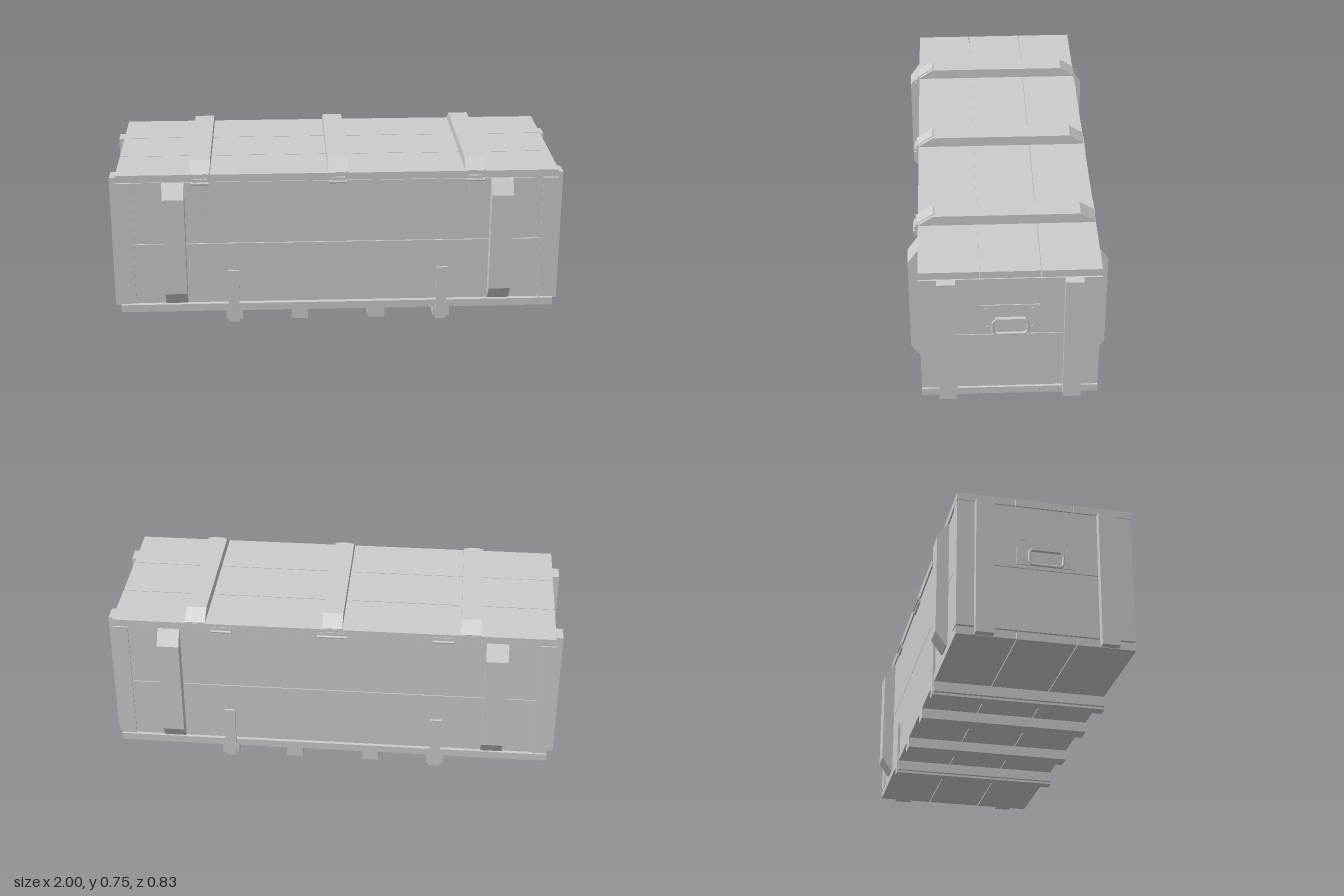
import * as THREE from 'three';

const grey = new THREE.MeshStandardMaterial({ color: 0xcccccc });
grey.name = 'grey';

export function createModel() {
  const crate = new THREE.Group();
  crate.name = 'crate';

  const add = (name, geo) => {
    const m = new THREE.Mesh(geo, grey);
    m.name = name;
    crate.add(m);
    return m;
  };
  // Box given by its min and max on each axis
  const box = (name, x0, x1, y0, y1, z0, z1) => {
    const m = add(name, new THREE.BoxGeometry(x1 - x0, y1 - y0, z1 - z0));
    m.position.set((x0 + x1) / 2, (y0 + y1) / 2, (z0 + z1) / 2);
    return m;
  };
  // Outline in (z, y), extruded along x around the centre cx
  const prism = (name, pts, cx, width) => {
    const shape = new THREE.Shape(pts.map(([z, y]) => new THREE.Vector2(-z, y)));
    const geo = new THREE.ExtrudeGeometry(shape, { depth: width, bevelEnabled: false });
    geo.translate(0, 0, -width / 2);
    geo.rotateY(Math.PI / 2);
    const m = add(name, geo);
    m.position.x = cx;
    return m;
  };

  const seam = 0.0015;

  // Inner core seen in the plank seams
  box('core', -0.94, 0.94, 0.096, 0.668, -0.35, 0.35);

  // Wall planks, two high, on all four sides
  for (const [y0, y1] of [[0.096, 0.38 - seam], [0.38 + seam, 0.668]]) {
    for (const s of [-1, 1]) {
      const a = s * 0.35, b = s * 0.366;
      box('longWallPlank', -0.9, 0.9, y0, y1, Math.min(a, b), Math.max(a, b));
      const c = s * 0.94, d = s * 0.965;
      box('endWallPlank', Math.min(c, d), Math.max(c, d), y0, y1, -0.3, 0.3);
    }
  }

  // Floor and lid planks, three across
  for (const [z0, z1] of [[-0.372, -0.125 - seam], [-0.125 + seam, 0.125 - seam], [0.125 + seam, 0.372]]) {
    box('floorPlank', -0.968, 0.968, 0.055, 0.089, z0, z1);
    box('lidPlank', -0.965, 0.965, 0.672, 0.705, z0, z1);
  }

  for (const sx of [-1, 1]) {
    for (const sz of [-1, 1]) {
      // Corner posts
      const px = [sx * 0.9, sx * 0.968].sort((a, b) => a - b);
      const pz = [sz * 0.3, sz * 0.372].sort((a, b) => a - b);
      box('cornerPost', px[0], px[1], 0.096, 0.668, pz[0], pz[1]);

      // Upright battens on the ends
      const bx = [sx * 0.96, sx].sort((a, b) => a - b);
      const bz = [sz * 0.222, sz * 0.298].sort((a, b) => a - b);
      box('endBatten', bx[0], bx[1], 0.057, 0.668, bz[0], bz[1]);

      // Long-side battens with chamfered ends
      prism('sideBatten', [[0.36, 0.098], [0.375, 0.098], [0.417, 0.16], [0.417, 0.605], [0.375, 0.668], [0.36, 0.668]]
        .map(([z, y]) => [z * sz, y]), sx * 0.718, 0.096);

      // Metal straps rising from the outer skids
      const kz = [sz * 0.36, sz * 0.377].sort((a, b) => a - b);
      box('skidStrap', sx * 0.465 - 0.024, sx * 0.465 + 0.024, 0.004, 0.25, kz[0], kz[1]);
    }

    // End handle: plate, bolts and rounded loop
    const plate = [sx * 0.96, sx * 0.969].sort((a, b) => a - b);
    box('handlePlate', plate[0], plate[1], 0.396, 0.535, -0.122, 0.122);
    for (const z of [-0.093, 0.093]) for (const y of [0.422, 0.514]) {
      const bolt = add('handleBolt', new THREE.CylinderGeometry(0.007, 0.007, 0.008, 10));
      bolt.rotation.z = Math.PI / 2;
      bolt.position.set(sx * 0.97, y, z);
    }
    const loop = new THREE.CurvePath();
    const corners = [];
    const r = 0.02, hw = 0.072, y0 = 0.395, y1 = 0.465;
    for (const [cz, cy, start] of [[hw - r, y1 - r, 0], [-hw + r, y1 - r, 1], [-hw + r, y0 + r, 2], [hw - r, y0 + r, 3]]) {
      for (let i = 0; i <= 4; i++) {
        const a = (start + i / 4) * Math.PI / 2;
        corners.push(new THREE.Vector3(sx * 0.979, cy + r * Math.sin(a), cz + r * Math.cos(a)));
      }
    }
    corners.forEach((p, i) => loop.add(new THREE.LineCurve3(p, corners[(i + 1) % corners.length])));
    add('handleLoop', new THREE.TubeGeometry(loop, 80, 0.006, 8, true));
    box('handleClip', sx * 0.974 - 0.011, sx * 0.974 + 0.011, 0.46, 0.473, -0.062, 0.062);
  }

  // Skids under the floor
  for (const x of [-0.465, -0.172, 0.172, 0.465]) {
    const outer = Math.abs(x) > 0.3;
    box('skid', x - 0.037, x + 0.037, 0.01, 0.056, -0.372, 0.372);
    if (outer) box('skidRunner', x - 0.024, x + 0.024, 0, 0.012, -0.377, 0.377);
  }

  // Lid battens with chamfered ends, and a latch at the front of each
  for (const x of [-0.6, 0, 0.6]) {
    prism('lidBatten', [[-0.37, 0.704], [0.37, 0.704], [0.37, 0.709], [0.308, 0.75], [-0.308, 0.75], [-0.37, 0.709]], x, 0.088);
    prism('latchTopPlate', [[0.3, 0.75], [0.31, 0.753], [0.376, 0.709], [0.37, 0.704]], x, 0.06);
    box('latchHinge', x - 0.037, x + 0.037, 0.675, 0.708, 0.365, 0.381);
    box('latchLever', x - 0.03, x + 0.03, 0.645, 0.69, 0.366, 0.389);
    box('latchTongue', x - 0.026, x + 0.026, 0.535, 0.66, 0.36, 0.373);
    const pin = add('latchPin', new THREE.CylinderGeometry(0.007, 0.007, 0.076, 10));
    pin.rotation.z = Math.PI / 2;
    pin.position.set(x, 0.669, 0.386);
  }

  // Hinges along the back edge of the lid
  for (const [x, w] of [[-0.485, 0.045], [0, 0.065], [0.485, 0.045]]) {
    box('hingeLeaf', x - w, x + w, 0.652, 0.69, -0.375, -0.36);
    const knuckle = add('hingeKnuckle', new THREE.CylinderGeometry(0.006, 0.006, w * 2, 10));
    knuckle.rotation.z = Math.PI / 2;
    knuckle.position.set(x, 0.67, -0.376);
  }

  return crate;
}
